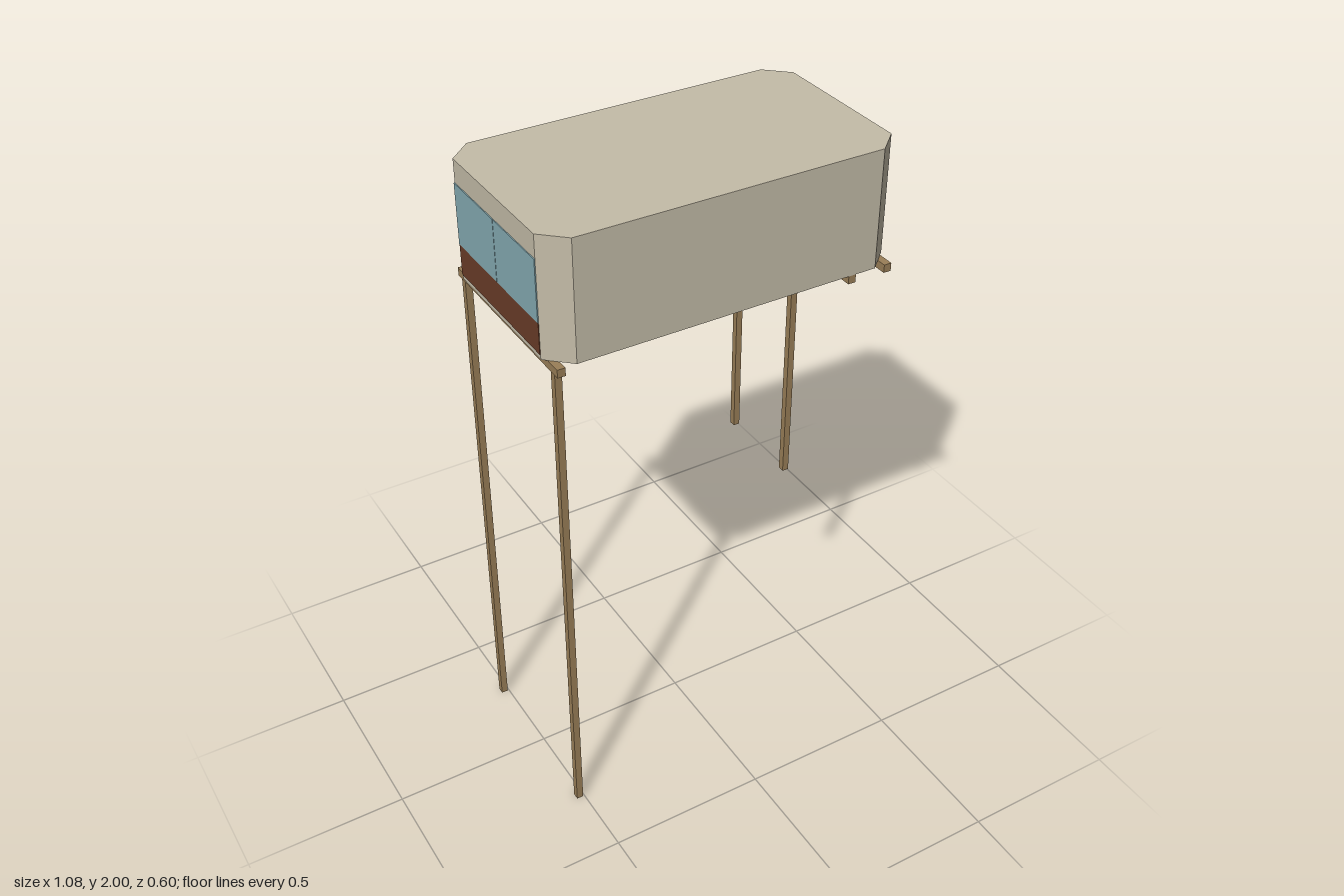
import * as THREE from 'three';

const mat = (name, color) => {
  const m = new THREE.MeshStandardMaterial({ color });
  m.name = name;
  return m;
};

export function createModel() {
  const root = new THREE.Group();
  root.name = 'raisedCabin';
  const plaster = mat('plaster', 0xc4bca8);
  const wood = mat('wood', 0x9a7f58);
  const glass = mat('blueGlass', 0x84aab2);
  const brown = mat('redBrown', 0x6a3c28);
  const dark = mat('darkFrame', 0x4c4b46);

  const add = (name, geo, material, parent = root) => {
    const mesh = new THREE.Mesh(geo, material);
    mesh.name = name;
    parent.add(mesh);
    return mesh;
  };
  // Box given by its limits on each axis
  const box = (name, x0, x1, y0, y1, z0, z1, material, parent) =>
    add(name, new THREE.BoxGeometry(x1 - x0, y1 - y0, z1 - z0)
      .translate((x0 + x1) / 2, (y0 + y1) / 2, (z0 + z1) / 2), material, parent);
  const outline = (pts) => new THREE.Shape(pts.map(([x, y]) => new THREE.Vector2(x, y)));
  // Horizontal slab extruded upward from a plan outline
  const slab = (pts, y, h) =>
    new THREE.ExtrudeGeometry(outline(pts), { depth: h, bevelEnabled: false })
      .rotateX(-Math.PI / 2).translate(0, y, 0);

  // Floor and roof: rectangles with cut corners
  const plan = [[0.54, -0.235], [0.54, 0.235], [0.47, 0.3], [-0.47, 0.3],
    [-0.54, 0.235], [-0.54, -0.235], [-0.47, -0.3], [0.47, -0.3]];
  add('floor', slab(plan, 1.635, 0.01), plaster);
  add('roof', slab(plan, 1.99, 0.01), plaster);

  // Long walls with their angled corners
  const sideWall = [[-0.54, -0.235], [-0.47, -0.3], [0.47, -0.3], [0.54, -0.235],
    [0.53, -0.235], [0.465, -0.29], [-0.465, -0.29], [-0.53, -0.235]];
  const wallGeo = slab(sideWall, 1.645, 0.345);
  add('frontWall', wallGeo, plaster);
  add('backWall', wallGeo.clone().rotateY(Math.PI), plaster);

  // End walls, each with an opening
  const endWall = (name, x, half, y0, y1) => {
    const s = outline([[-0.235, 1.645], [0.235, 1.645], [0.235, 1.99], [-0.235, 1.99]]);
    s.holes.push(outline([[-half, y0], [-half, y1], [half, y1], [half, y0]]));
    add(name, new THREE.ExtrudeGeometry(s, { depth: 0.01, bevelEnabled: false })
      .rotateY(Math.PI / 2).translate(x, 0, 0), plaster);
  };
  endWall('doorWall', 0.53, 0.15, 1.655, 1.88);
  endWall('windowWall', -0.54, 0.225, 1.655, 1.925);

  // Window panes above a solid lower panel
  for (const s of [-1, 1]) {
    box('windowPane', -0.543, -0.536, 1.745, 1.93, Math.min(0.001 * s, 0.235 * s),
      Math.max(0.001 * s, 0.235 * s), glass);
  }
  box('lowerPanel', -0.542, -0.536, 1.65, 1.745, -0.235, 0.235, brown);

  // Screen just inside the doorway
  box('entryScreen', 0.41, 0.42, 1.645, 1.865, -0.03, 0.25, plaster);

  // Chair with an arched back
  const chair = new THREE.Group();
  chair.name = 'chair';
  root.add(chair);
  const arch = (name, r, t, material) =>
    add(name, new THREE.TorusGeometry(r, t, 8, 24, Math.PI)
      .rotateY(Math.PI / 2).translate(-0.2, 1.755, -0.02), material, chair);
  arch('backFrame', 0.09, 0.01, dark);
  arch('backCushion', 0.067, 0.012, plaster);
  box('seat', -0.2, -0.08, 1.69, 1.705, -0.11, 0.07, brown, chair);
  for (const z of [-0.11, 0.07]) {
    box('backPost', -0.21, -0.19, 1.645, 1.755, z - 0.01, z + 0.01, dark, chair);
    box('frontLeg', -0.1, -0.08, 1.645, 1.69, z - 0.01, z + 0.01, dark, chair);
  }

  // Crossbeams under the floor
  for (const x of [-0.515, 0.393, 0.515]) {
    box('crossbeam', x - 0.012, x + 0.012, 1.61, 1.635, -0.3, 0.3, wood);
  }

  // Support posts: tall pair at one end, short pair at the other
  for (const [x, z, y] of [[-0.515, 0.27, 0], [-0.515, -0.27, 0],
    [0.393, 0.02, 0.78], [0.393, -0.27, 0.78]]) {
    box('post', x - 0.0105, x + 0.0105, y, 1.61, z - 0.0105, z + 0.0105, wood);
  }
  return root;
}
